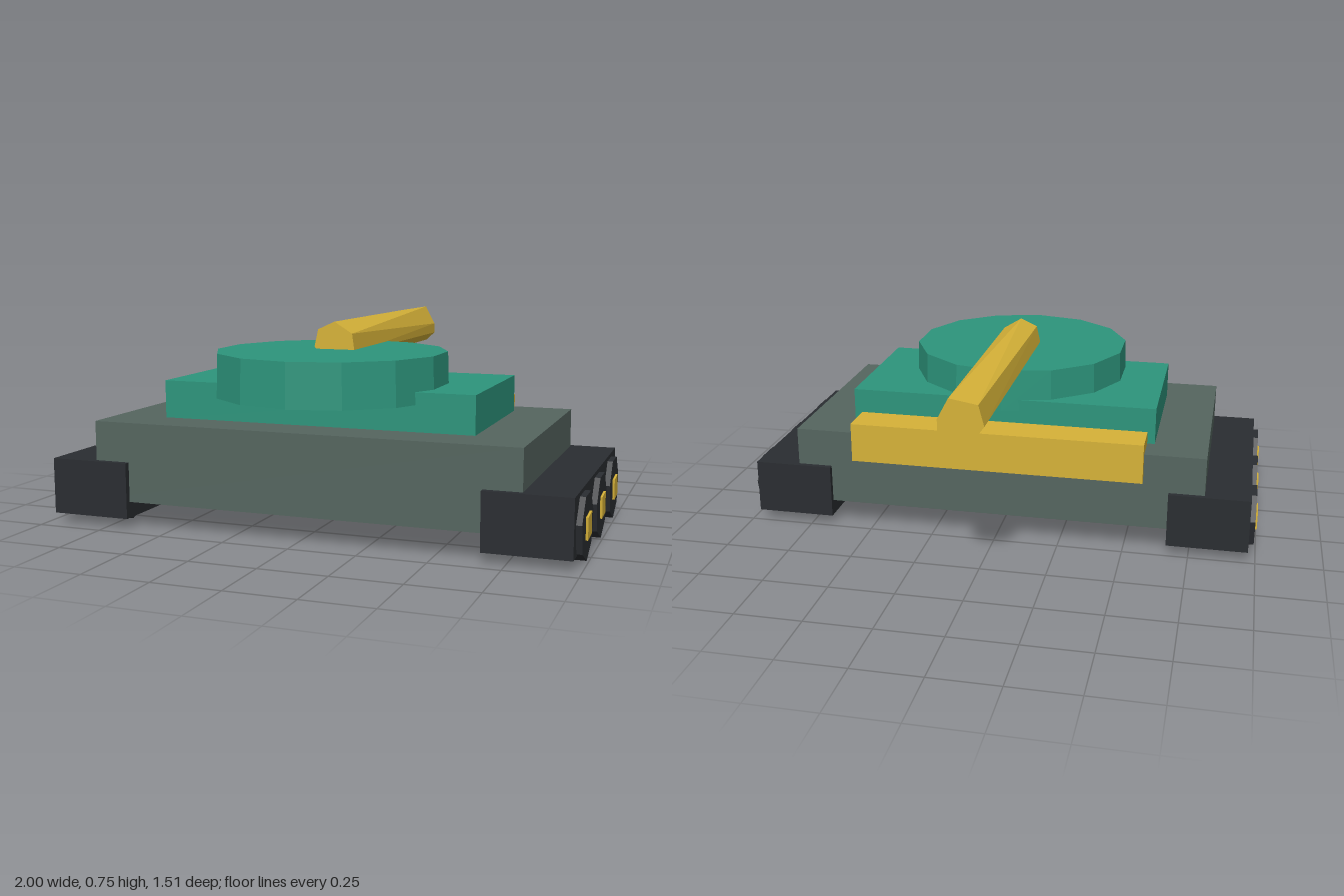
import * as THREE from 'three';

const paint = (color) => new THREE.MeshStandardMaterial({ color, flatShading: true });

export function createModel() {
  const model = new THREE.Group();
  const grey = paint(0x55655f), teal = paint(0x2d957c), gold = paint(0xd6b238), dark = paint(0x2a2d31);

  const add = (name, geometry, material) => {
    const mesh = new THREE.Mesh(geometry, material);
    mesh.name = name;
    model.add(mesh);
    return mesh;
  };
  // Box given by its limits on each axis
  const box = (name, [x0, x1], [y0, y1], [z0, z1], material) =>
    add(name, new THREE.BoxGeometry(x1 - x0, y1 - y0, z1 - z0)
      .translate((x0 + x1) / 2, (y0 + y1) / 2, (z0 + z1) / 2), material);
  // Cylinder lying along x, with one corner pointing down
  const axle = (name, radius, sides, x0, x1, y, z, turn, material) =>
    add(name, new THREE.CylinderGeometry(radius, radius, Math.abs(x1 - x0), sides)
      .rotateY(turn).rotateX(Math.PI / 2).rotateY(Math.PI / 2)
      .translate((x0 + x1) / 2, y, z), material);

  // Hull, deck and rear stowage box
  box('hull', [-0.8, 0.8], [0.1, 0.395], [-0.216, 0.672], grey);
  box('deck', [-0.597, 0.597], [0.39, 0.535], [-0.097, 0.506], teal);
  box('rearBox', [-0.568, 0.568], [0.288, 0.441], [-0.243, -0.09], gold);

  // Turret disc
  add('turret', new THREE.CylinderGeometry(0.43, 0.435, 0.162, 14).translate(0, 0.571, 0.322), teal);

  // Tracks with three wheels and hubs on each side
  for (const s of [-1, 1]) {
    const side = s > 0 ? 'left' : 'right';
    box(side + 'Track', s > 0 ? [0.665, 0.972] : [-0.972, -0.665], [0.04, 0.248], [-0.236, 0.694], dark);
    [0.545, 0.23, -0.085].forEach((z, i) => {
      axle(side + 'Wheel' + (i + 1), 0.12, 7, s * 0.728, s * 0.992, 0.124, z, 0, dark);
      axle(side + 'Hub' + (i + 1), 0.056, 4, s * 0.9, s, 0.125, z, Math.PI / 4 + 0.08, gold);
    });
  }

  // Barrel: slightly twisted seven-sided bar, joined between two end sections
  const front = [[0, 0.755], [-0.065, 0.725], [-0.08, 0.66], [-0.035, 0.602], [0.035, 0.6], [0.08, 0.64], [0.07, 0.712]];
  const back = [[0.04, 0.752], [-0.062, 0.735], [-0.082, 0.66], [-0.035, 0.597], [0.045, 0.602], [0.08, 0.635], [0.08, 0.676]];
  const zFront = 0.295, zBack = -0.752, points = [];
  const f = (i) => [...front[i % 7], zFront];
  const b = (i) => [...back[i % 7], zBack];
  for (let i = 0; i < 7; i++) {
    points.push(...f(i), ...b(i + 1), ...f(i + 1), ...f(i), ...b(i), ...b(i + 1));
    points.push(0, 0.675, zFront, ...f(i), ...f(i + 1));
    points.push(0, 0.675, zBack, ...b(i + 1), ...b(i));
  }
  const barrel = new THREE.BufferGeometry();
  barrel.setAttribute('position', new THREE.Float32BufferAttribute(points, 3));
  barrel.computeVertexNormals();
  add('barrel', barrel, gold);

  return model;
}
